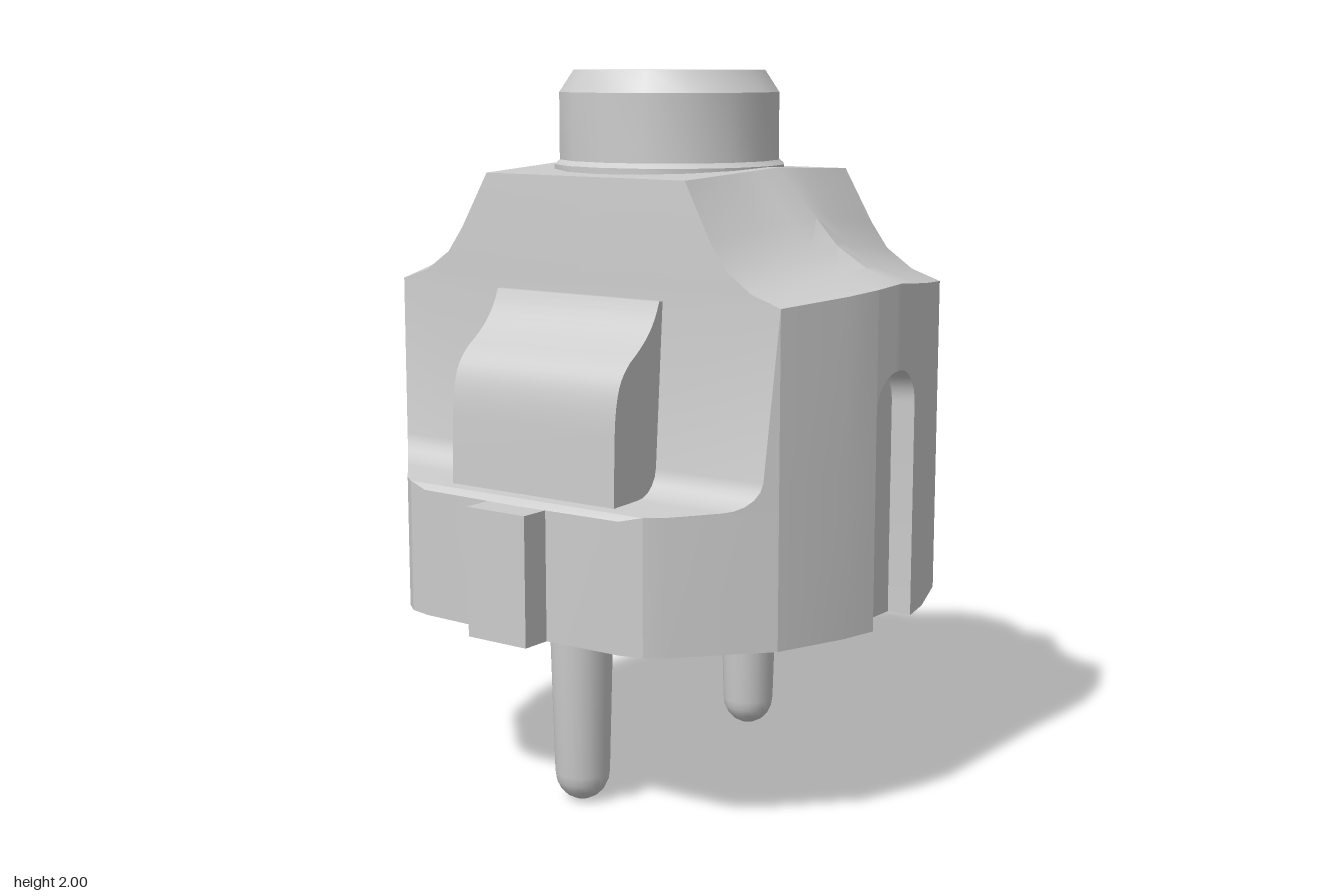
import * as THREE from 'three';
import { mergeVertices, toCreasedNormals } from 'three/addons/utils/BufferGeometryUtils.js';

const material = new THREE.MeshStandardMaterial({ color: 0xcccccc });
const BASE = 0.53, GROOVE_X = 0.67, GROOVE_Y = 1.12, GROOVE_R = 0.1;

// One quarter of the footprint, [x, z] from the side to the front
const FOOT = [[0.75, 0], [0.74, 0.1], [0.715, 0.21], [0.64, 0.41], [0.44, 0.625], [0.395, 0.66], [0.33, 0.675], [0, 0.685]];

function footX(z) {
  for (let i = 1; i < FOOT.length; i++) {
    const [x0, z0] = FOOT[i - 1], [x1, z1] = FOOT[i];
    if (z <= z1) return x0 + (x1 - x0) * (z - z0) / (z1 - z0);
  }
  return 0;
}

// Footprint outline from the groove edge to the front, cut off at depth zMax
function outline(y, zMax) {
  return FOOT.slice(1).map(([x, z], i, all) => {
    const cut = Math.min(z, zMax);
    return [i === all.length - 1 ? 0 : z < zMax ? x : footX(cut), y, cut];
  });
}

// Adds a grid of points to the list, mirrored into all four quarters
function addPatch(out, rows) {
  const v = p => new THREE.Vector3(...p);
  const tri = (a, b, c) => {
    const area = v(b).sub(v(a)).cross(v(c).sub(v(a))).length();
    if (area < 1e-7) return;
    for (const sx of [1, -1]) for (const sz of [1, -1]) {
      const order = sx * sz > 0 ? [a, b, c] : [a, c, b];
      for (const [x, y, z] of order) out.push(x * sx, y, z * sz);
    }
  };
  for (let r = 0; r < rows.length - 1; r++) {
    for (let c = 0; c < rows[r].length - 1; c++) {
      const a = rows[r][c], b = rows[r + 1][c], d = rows[r][c + 1], e = rows[r + 1][c + 1];
      tri(a, b, d);
      tri(b, e, d);
    }
  }
}

function bodyGeometry() {
  const out = [];
  const rimY = z => 1.45 - 0.035 * Math.min(1, z / 0.41);

  // Base wall, ledge, fillet and upright front wall
  const levels = [[BASE, 0.685], [0.88, 0.685], [0.895, 0.66]];
  for (let i = 0; i <= 5; i++) {
    const a = i * Math.PI / 10.6;
    levels.push([0.98 - 0.08 * Math.cos(a), 0.52 - 0.08 * Math.sin(a)]);
  }
  const rim = outline(0, 0.41).map(([x, , z]) => [x, rimY(z), z]);
  addPatch(out, [...levels.map(([y, z]) => outline(y, z)), rim]);

  // Side strip with an arched groove
  const strip = [[], [], [], []];
  for (let i = 0; i <= 8; i++) {
    const a = i * Math.PI / 16, z = GROOVE_R * Math.sin(a);
    const h = GROOVE_Y + GROOVE_R * Math.cos(a), x = footX(z);
    strip[0].push([GROOVE_X, BASE, z]);
    strip[1].push([GROOVE_X, h, z]);
    strip[2].push([x, h, z]);
    strip[3].push([x, rimY(z), z]);
  }
  addPatch(out, strip);
  const grooveOut = footX(GROOVE_R);
  addPatch(out, [BASE, GROOVE_Y].map(y => [[GROOVE_X, y, GROOVE_R], [grooveOut, y, GROOVE_R]]));

  // Concave shoulders: [middle x, middle y, corner x, corner y, corner z]
  const shoulder = [
    [0.64, 1.485, 0.55, 1.445, 0.409], [0.55, 1.54, 0.47, 1.5, 0.407], [0.485, 1.61, 0.42, 1.57, 0.404],
    [0.42, 1.68, 0.375, 1.65, 0.4], [0.36, 1.74, 0.335, 1.722, 0.396],
  ].map(([xm, ym, xc, yc, zc]) => {
    const row = [0, 0.244, 0.512, 1].map(f => [xm + (xc - xm) * f, ym + (yc - ym) * f, zc * f]);
    return [...row, [0, yc, zc]];
  });
  const start = [[0.75, 1.45, 0], rim[0], rim[1], rim[2], rim[rim.length - 1]];
  addPatch(out, [start, ...shoulder, start.map(() => [0, 1.74, 0])]);

  // Underside, notched where the grooves run out
  const under = [[GROOVE_X, BASE, 0], [GROOVE_X, BASE, GROOVE_R], ...outline(BASE, 0.685)];
  addPatch(out, [under.map(([, y, z]) => [0, y, z]), under]);

  const geo = new THREE.BufferGeometry();
  geo.setAttribute('position', new THREE.Float32BufferAttribute(out, 3));
  return toCreasedNormals(mergeVertices(geo, 1e-4), 0.38);
}

function lathe(points, sides) {
  const geo = new THREE.LatheGeometry(points.map(p => new THREE.Vector2(...p)), sides);
  return toCreasedNormals(geo, 0.5);
}

// Curved raised grip, drawn in profile as (z, y) and swept across x
function gripGeometry() {
  const shape = new THREE.Shape();
  shape.moveTo(0.38, 0.895);
  shape.lineTo(0.622, 0.895);
  shape.lineTo(0.617, 1.08);
  shape.bezierCurveTo(0.612, 1.2, 0.59, 1.23, 0.55, 1.265);
  shape.bezierCurveTo(0.49, 1.305, 0.45, 1.34, 0.425, 1.41);
  shape.lineTo(0.38, 1.41);
  const geo = new THREE.ExtrudeGeometry(shape, { depth: 0.55, bevelEnabled: false, curveSegments: 8 });
  geo.translate(0, 0, -0.275).rotateY(-Math.PI / 2);
  return toCreasedNormals(geo, 0.5);
}

export function createModel() {
  const group = new THREE.Group();
  const add = (name, geo, parent = group) => {
    const mesh = new THREE.Mesh(geo, material);
    mesh.name = name;
    parent.add(mesh);
    return mesh;
  };

  add('body', bodyGeometry());

  // Cable collar on top
  add('collar', lathe([[0.325, 1.715], [0.325, 1.742], [0.31, 1.755], [0.31, 1.94], [0.27, 2], [0, 2]], 16));

  // Round pins with a small foot and a domed tip
  const pinProfile = [];
  for (let i = 0; i <= 5; i++) {
    const a = i * Math.PI / 10;
    pinProfile.push([0.076 * Math.sin(a), 0.08 - 0.08 * Math.cos(a)]);
  }
  pinProfile.push([0.087, 0.495], [0.1, 0.502], [0.122, 0.535]);
  const pin = lathe(pinProfile, 20);
  const grip = gripGeometry();
  const tab = new THREE.BoxGeometry(0.195, 0.35, 0.17).translate(0, BASE + 0.175, 0.682);

  // Parts repeated on the front and back
  for (const side of ['front', 'back']) {
    const half = new THREE.Group();
    half.name = side + 'Parts';
    half.rotation.y = side === 'front' ? 0 : Math.PI;
    add(side + 'Grip', grip, half);
    add(side + 'Tab', tab, half);
    add(side + 'Pin', pin, half).position.z = 0.413;
    group.add(half);
  }
  return group;
}
